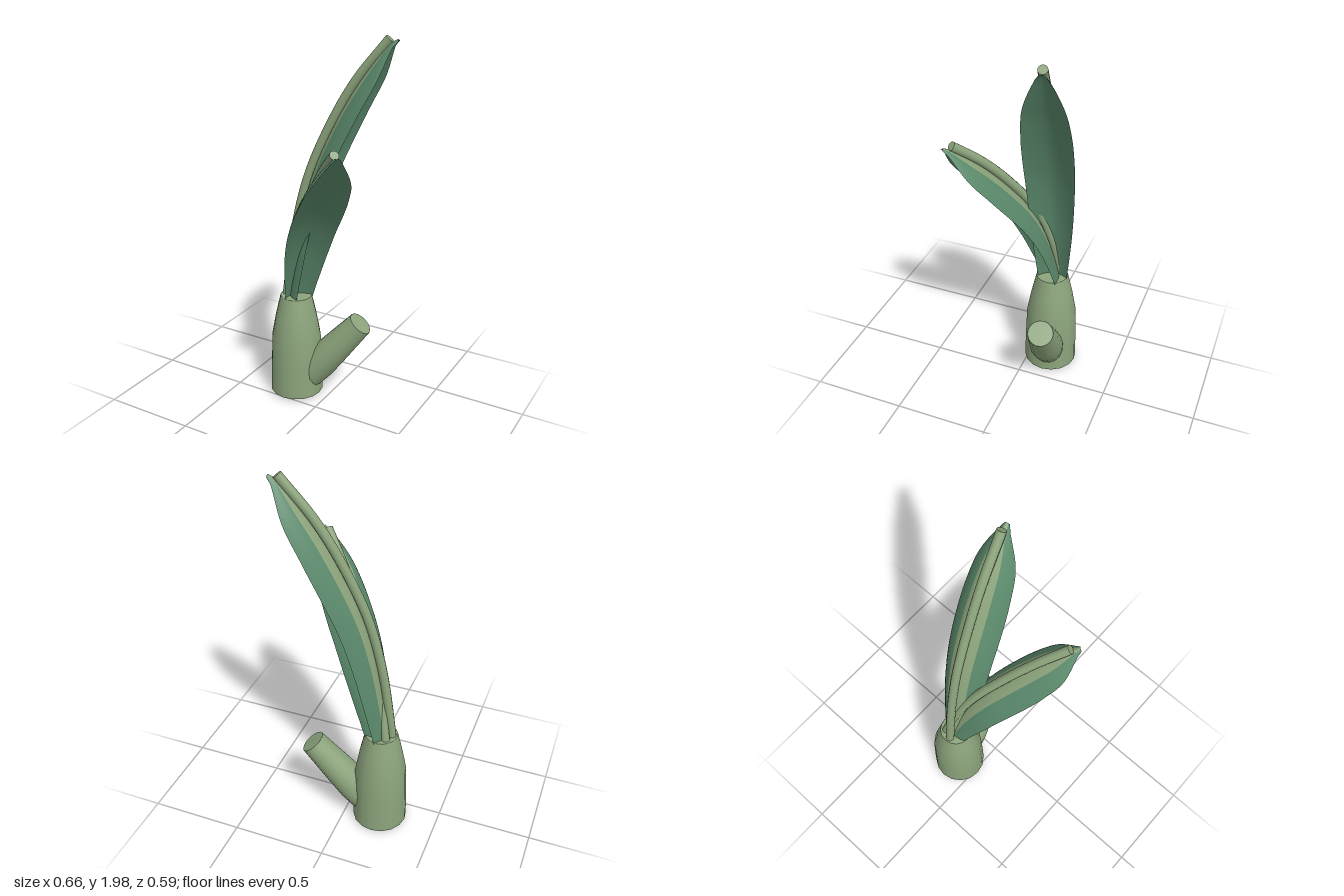
import * as THREE from 'three';

const stemGreen = new THREE.MeshStandardMaterial({ color: 0x8ca47c });
stemGreen.name = 'pale stem green';
const leafGreen = new THREE.MeshStandardMaterial({ color: 0x5b8a6c });
leafGreen.name = 'deep leaf green';

const V = (x, y, z) => new THREE.Vector3(x, y, z);

function add(parent, name, geometry, material) {
  const mesh = new THREE.Mesh(geometry, material);
  mesh.name = name;
  parent.add(mesh);
  return mesh;
}

// Smooth interpolation of evenly spaced values along 0..1
function profile(values) {
  const curve = new THREE.CatmullRomCurve3(values.map((v, i) => V(i, v, 0)));
  return t => curve.getPoint(t).y;
}

// Grid surface from a point rule; paleColumn picks the columns of the second material
function sheet(cols, rows, point, flip, paleColumn = () => false) {
  const pos = [], strips = [[], []];
  for (let i = 0; i <= rows; i++)
    for (let j = 0; j <= cols; j++) pos.push(...point(j / cols * 2 - 1, i / rows).toArray());
  for (let i = 0; i < rows; i++)
    for (let j = 0; j < cols; j++) {
      const a = i * (cols + 1) + j, b = a + 1, c = a + cols + 1, d = c + 1;
      const list = strips[paleColumn((j + 0.5) / cols * 2 - 1) ? 1 : 0];
      list.push(...(flip ? [a, b, c, b, d, c] : [a, c, b, b, c, d]));
    }
  const g = new THREE.BufferGeometry();
  g.setAttribute('position', new THREE.Float32BufferAttribute(pos, 3));
  g.setIndex([...strips[0], ...strips[1]]);
  g.addGroup(0, strips[0].length, 0);
  g.addGroup(strips[0].length, strips[1].length, 1);
  g.computeVertexNormals();
  return g;
}

// Arched leaf with a pale centre band, a thin hollow underside and a raised midrib
function makeLeaf(name, { start, dir, path, tip, widths }) {
  const leaf = new THREE.Group();
  leaf.name = name;
  const d = V(dir[0], 0, dir[1]).normalize();
  const side = V(-d.z, 0, d.x);
  const place = ([x, y]) => V(x, y, start[1] + (x - start[0]) * dir[1] / dir[0]);
  const ribCurve = new THREE.CatmullRomCurve3(path.map(place));
  const normalAt = (curve, t) => side.clone().cross(curve.getTangentAt(t));

  // Blade ridge runs just under the midrib and on to the tip
  const ridgePoints = [];
  for (let i = 0; i <= 6; i++) {
    const t = i / 6;
    ridgePoints.push(ribCurve.getPointAt(t).addScaledVector(normalAt(ribCurve, t), -0.018));
  }
  ridgePoints.push(place(tip));
  const ridge = new THREE.CatmullRomCurve3(ridgePoints);
  const width = profile(widths);

  const surface = belly => (u, t) => {
    const w = width(t);
    const drop = 0.85 * w * Math.pow(u * u + 0.01, 0.8) + belly * w * (1 - u * u);
    return ridge.getPointAt(t)
      .addScaledVector(side, w * Math.sin(u * Math.PI / 2) * 0.35 + w * u * 0.65)
      .addScaledVector(normalAt(ridge, t), -drop);
  };
  add(leaf, 'bladeTop', sheet(20, 40, surface(0), true, u => Math.abs(u) < 0.4), [leafGreen, stemGreen]);
  add(leaf, 'bladeUnderside', sheet(20, 40, surface(0.3), false), leafGreen);

  // Midrib with a flat end
  const r = 0.023;
  add(leaf, 'midrib', new THREE.TubeGeometry(ribCurve, 40, r, 12), stemGreen);
  const cap = add(leaf, 'midribEnd', new THREE.CircleGeometry(r, 12), stemGreen);
  cap.position.copy(ribCurve.getPointAt(1));
  cap.quaternion.setFromUnitVectors(V(0, 0, 1), ribCurve.getTangentAt(1));
  return leaf;
}

const lathe = (points, sides) =>
  new THREE.LatheGeometry(points.map(p => new THREE.Vector2(...p)), sides);

export function createModel() {
  const model = new THREE.Group();
  model.name = 'plant';

  // Main stem: doubled points keep the end edges crisp
  const stem = add(model, 'stem', lathe([
    [0, 0.025], [0.144, 0.025], [0.145, 0.026], [0.141, 0.2], [0.135, 0.36],
    [0.113, 0.48], [0.086, 0.597], [0.084, 0.6], [0, 0.6],
  ], 16), stemGreen);
  stem.position.set(-0.19, 0, -0.12);

  // Cut side branch
  const from = V(-0.17, 0.063, -0.12), to = V(0.17, 0.485, -0.187);
  const length = from.distanceTo(to);
  const branch = add(model, 'sideBranch', lathe([
    [0, 0], [0.08, 0], [0.082, 0.002], [0.092, length * 0.35], [0.084, length * 0.6],
    [0.068, length - 0.002], [0.066, length], [0, length],
  ], 16), stemGreen);
  branch.position.copy(from);
  branch.quaternion.setFromUnitVectors(V(0, 1, 0), to.clone().sub(from).normalize());

  model.add(makeLeaf('tallLeaf', {
    start: [-0.255, -0.112], dir: [0.525, -0.103],
    path: [[-0.255, 0.52], [-0.19, 1.0], [-0.115, 1.3], [0.015, 1.6], [0.125, 1.79], [0.275, 1.983]],
    tip: [0.315, 1.982],
    widths: [0.07, 0.088, 0.104, 0.114, 0.12, 0.122, 0.115, 0.09, 0.012],
  }));
  model.add(makeLeaf('shortLeaf', {
    start: [-0.245, -0.175], dir: [0.485, 0.415],
    path: [[-0.24, 0.52], [-0.175, 0.84], [-0.1, 1.06], [0.0, 1.24], [0.115, 1.4], [0.235, 1.525]],
    tip: [0.268, 1.525],
    widths: [0.065, 0.085, 0.105, 0.12, 0.128, 0.13, 0.122, 0.095, 0.012],
  }));
  return model;
}
